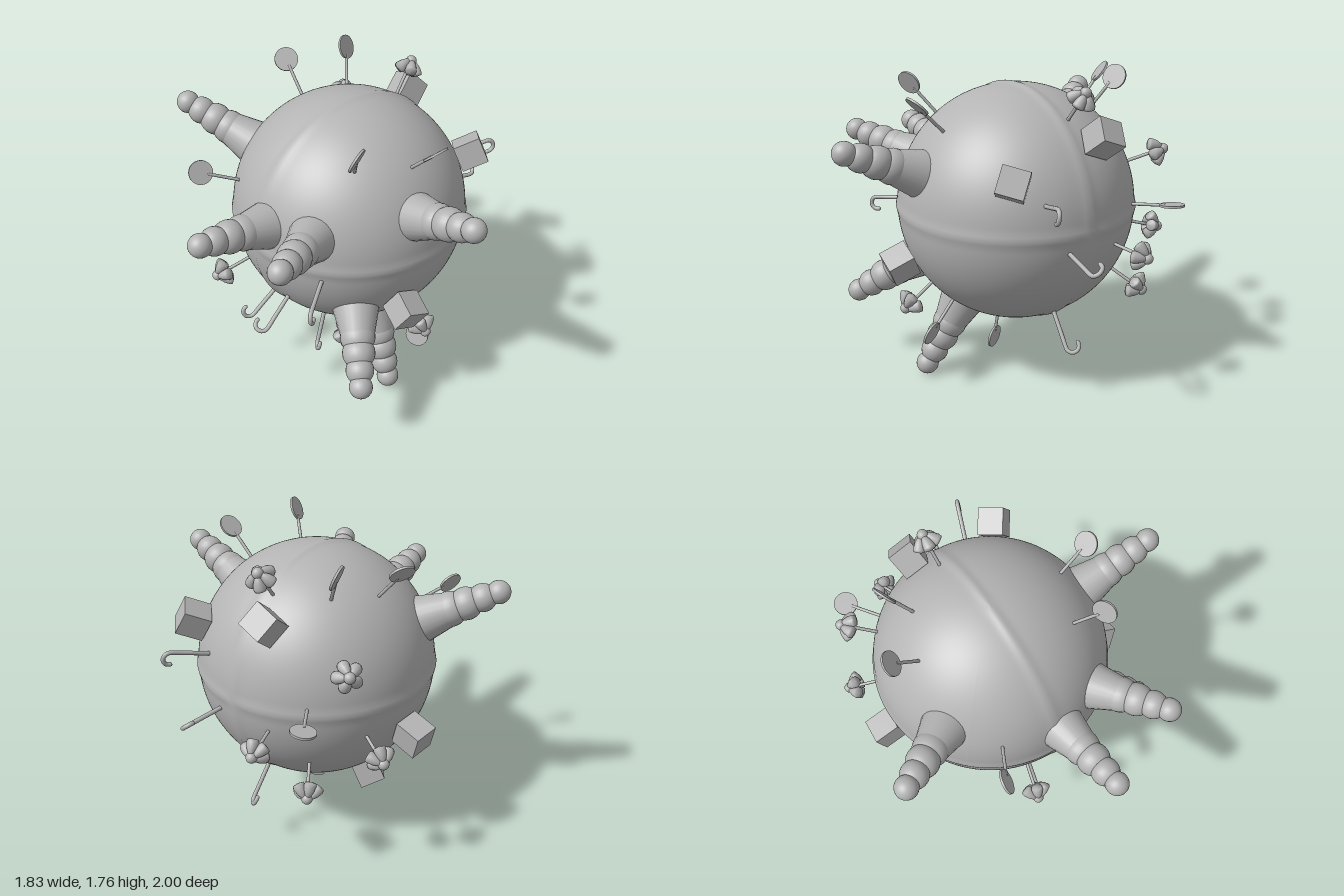
import * as THREE from 'three';

const CENTER = new THREE.Vector3(0.085, 1.005, -0.07);
const R = 0.66;

export function createModel() {
  const model = new THREE.Group();
  const clay = new THREE.MeshStandardMaterial({ color: 0xb4b4b4 });
  clay.name = 'clay grey';

  const add = (parent, name, geometry, y = 0) => {
    const m = new THREE.Mesh(geometry, clay);
    m.name = name;
    m.position.y = y;
    parent.add(m);
    return m;
  };

  // Group at the ball centre: local y points outward, local x follows the hint
  const radial = (name, dir, hint = [0.3, 0.2, 1]) => {
    const y = new THREE.Vector3(...dir).normalize();
    const x = new THREE.Vector3(...hint);
    x.addScaledVector(y, -x.dot(y)).normalize();
    const z = new THREE.Vector3().crossVectors(x, y);
    const g = new THREE.Group();
    g.name = name;
    g.quaternion.setFromRotationMatrix(new THREE.Matrix4().makeBasis(x, y, z));
    g.position.copy(CENTER);
    model.add(g);
    return g;
  };

  // Ball with two raised seams: the equator and one diagonal meridian
  const ballGeo = new THREE.SphereGeometry(R, 128, 96);
  const pos = ballGeo.attributes.position;
  const v = new THREE.Vector3();
  const ridge = (d) => 0.009 * Math.exp(-((d / 0.028) ** 2));
  for (let i = 0; i < pos.count; i++) {
    v.fromBufferAttribute(pos, i);
    const bump = Math.max(ridge(v.y), ridge((v.x + v.z) / Math.SQRT2));
    v.setLength(R + bump);
    pos.setXYZ(i, v.x, v.y, v.z);
  }
  ballGeo.computeVertexNormals();
  add(model, 'ball', ballGeo).position.copy(CENTER);

  // Horns: a tapered base and a stack of shrinking beads
  const hornBase = new THREE.CylinderGeometry(0.09, 0.15, 0.26, 24);
  const beads = [[0.8, 0.097], [0.89, 0.09], [0.985, 0.077], [1.075, 0.064]];
  for (const d of [
    [-0.95, 0.465, -0.24], [-0.685, 0.255, 0.79], [-0.255, 0.295, 1],
    [0.645, 0.41, 0.75], [0.135, -0.57, 0.905], [0.275, -0.94, 0.47],
  ]) {
    const g = radial('horn', d);
    add(g, 'hornBase', hornBase, 0.68);
    for (const [y, r] of beads) add(g, 'hornBead', new THREE.SphereGeometry(r, 24, 16), y);
  }

  // Lollipops: [direction, disc normal]
  const stick = new THREE.CylinderGeometry(0.009, 0.009, 0.24, 10);
  const disc = new THREE.CylinderGeometry(0.067, 0.067, 0.012, 28).rotateZ(Math.PI / 2);
  for (const [d, n] of [
    [[-0.4, 0.673, -0.42], [0.22, 0.6, 0.75]],
    [[-0.063, 0.715, -0.53], [0.9, 0.39, 0.42]],
    [[0.07, 0.652, 0.57], [-0.88, 0.4, -0.35]],
    [[0.45, 0.615, 0.425], [0.52, -0.71, 0.49]],
    [[-0.788, 0.305, 0.234], [0.41, 0.43, 0.8]],
    [[0.43, -0.655, 0.39], [-0.3, 0.31, 0.85]],
    [[0, -0.865, 0.126], [-0.3, 0.13, 0.95]],
    [[0.129, 0.062, -0.865], [-0.15, 1, 0.05]],
  ]) {
    const g = radial('lollipop', d, n);
    add(g, 'lollipopStick', stick, 0.72);
    add(g, 'lollipopDisc', disc, 0.877);
  }

  // Canes: [direction, side the hook bends to]
  const hook = 0.036;
  const canePoints = [[0, 0.6], [0, 0.7], [0, 0.8]];
  for (let i = 0; i <= 8; i++) {
    const a = (i / 8) * Math.PI * 1.08;
    canePoints.push([hook - hook * Math.cos(a), 0.872 + hook * Math.sin(a)]);
  }
  const canePath = new THREE.CatmullRomCurve3(canePoints.map(([x, y]) => new THREE.Vector3(x, y, 0)));
  const caneGeo = new THREE.TubeGeometry(canePath, 48, 0.012, 10);
  const caneEnd = new THREE.SphereGeometry(0.012, 10, 8);
  const [endX, endY] = canePoints[canePoints.length - 1];
  for (const [d, h] of [
    [[0.815, 0.245, -0.35], [0.3, -0.95, 0]],
    [[0.755, -0.125, -0.52], [-0.3, 0.6, -0.7]],
    [[-0.135, -0.085, 0.9], [0.1, -1, 0]],
    [[-0.555, -0.625, 0.385], [-0.7, 0.7, 0.13]],
    [[-0.415, -0.435, 0.69], [-0.85, 0.4, -0.25]],
    [[-0.16, -0.82, 0.38], [0.25, 0.37, 0.9]],
    [[0.4, -0.73, -0.36], [-0.17, 0.35, -0.9]],
  ]) {
    const g = radial('cane', d, h);
    add(g, 'caneRod', caneGeo);
    add(g, 'caneEnd', caneEnd, endY).position.x = endX;
  }

  // Boxes: [direction, edge direction]
  const boxGeo = new THREE.BoxGeometry(0.145, 0.15, 0.145);
  for (const [d, e] of [
    [[0.35, -0.285, 0.577], [0.83, -0.55, 0]],
    [[-0.285, -0.68, -0.206], [1, -0.3, 0]],
    [[0.66, 0.305, -0.1], [0, -0.23, -1]],
    [[0.295, 0.458, -0.5], [0.9, 0, -0.8]],
    [[-0.48, -0.22, -0.53], [0.15, 1, 0]],
  ]) add(radial('box', d, e), 'boxBody', boxGeo, 0.738);

  // Flowers: a stem, a centre bead and five petals folded back
  const stem = new THREE.CylinderGeometry(0.009, 0.009, 0.25, 10);
  const bud = new THREE.SphereGeometry(0.03, 16, 12);
  const petalProfile = [[0, -0.042], [0.03, -0.036], [0.033, -0.022], [0.027, 0.008], [0.014, 0.036], [0, 0.046]];
  const petal = new THREE.LatheGeometry(petalProfile.map(([x, y]) => new THREE.Vector2(x, y)), 14);
  petal.rotateZ(0.6).translate(0.04, 0, 0);
  for (const d of [
    [0.298, 0.658, -0.386], [-0.677, -0.26, 0.387], [0.44, -0.465, 0.49],
    [0.015, -0.738, 0.357], [-0.265, -0.2, -0.755], [-0.095, 0.295, -0.76],
    [0.105, -0.43, -0.7], [0.362, -0.14, -0.715],
  ]) {
    const g = radial('flower', d);
    add(g, 'flowerStem', stem, 0.715);
    add(g, 'flowerCentre', bud, 0.86);
    for (let i = 0; i < 5; i++) {
      add(g, 'flowerPetal', petal, 0.825).rotation.y = (i / 5) * Math.PI * 2;
    }
  }
  return model;
}
